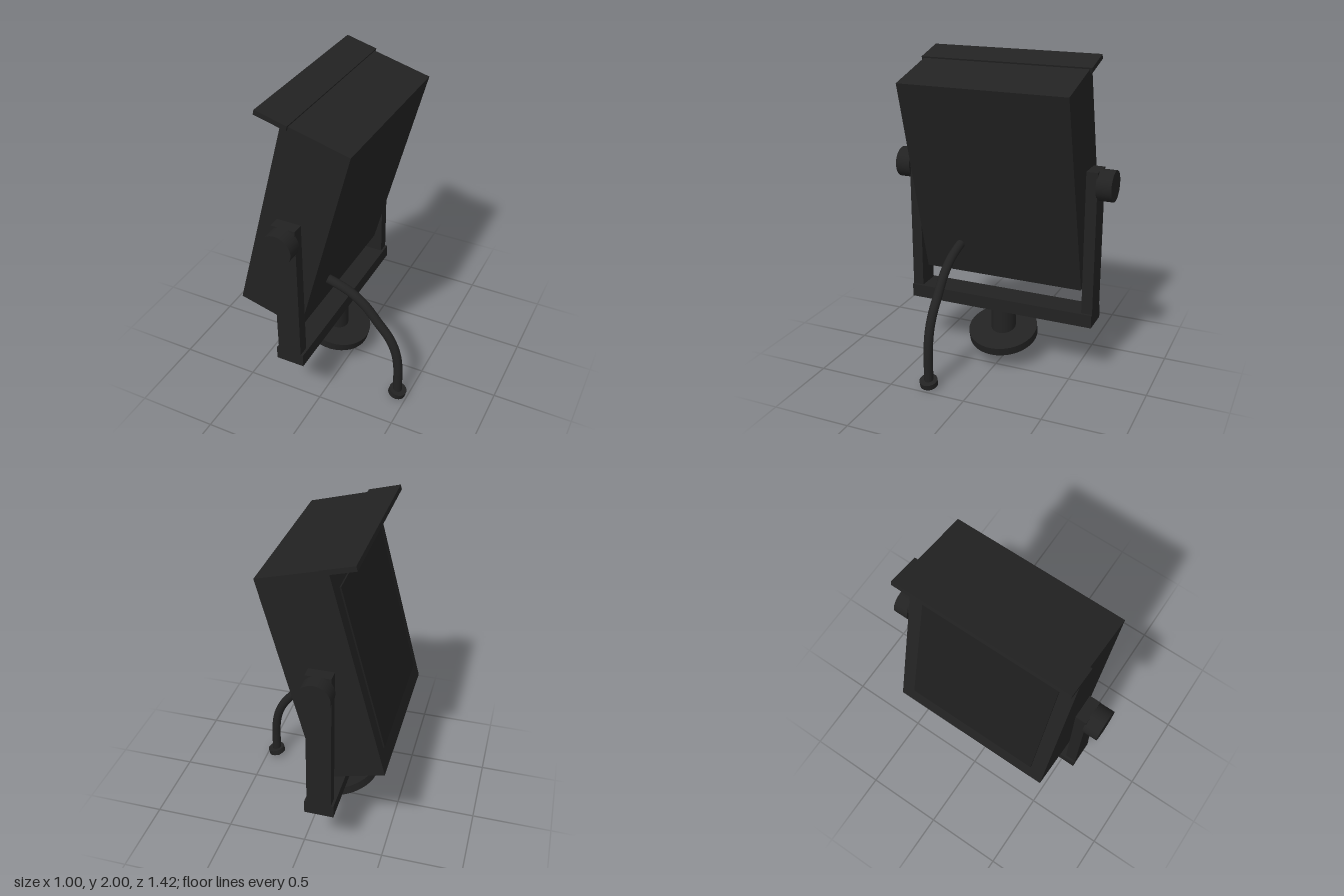
import * as THREE from 'three';

export function createModel() {
  const model = new THREE.Group();
  const housing = new THREE.MeshStandardMaterial({ color: 0x222222 });
  housing.name = 'dark housing';
  const glass = new THREE.MeshStandardMaterial({ color: 0x1e1e1e });
  glass.name = 'dark panel';

  const TILT = -Math.PI / 12;
  const AXIS_X = -0.13;

  function add(parent, name, geometry, x, y, z, material = housing) {
    const mesh = new THREE.Mesh(geometry, material);
    mesh.name = name;
    mesh.position.set(x, y, z);
    parent.add(mesh);
    return mesh;
  }
  const box = (w, h, d) => new THREE.BoxGeometry(w, h, d);
  const disc = (r, h) => new THREE.CylinderGeometry(r, r, h, 40);

  // Tilted housing with its face panel and sun visor
  const head = new THREE.Group();
  head.name = 'tiltedHead';
  head.position.set(AXIS_X, 1.263, 0);
  head.rotation.z = TILT;
  model.add(head);
  add(head, 'body', box(0.414, 1.315, 1.06), 0, 0, 0);
  add(head, 'facePanel', box(0.009, 1.04, 0.88), -0.2115, -0.006, 0, glass);
  add(head, 'visor', box(0.2, 0.03, 1.09), -0.263, 0.652, 0);

  // U-shaped bracket with a pivot knob on each arm
  add(model, 'bracketBar', box(0.18, 0.085, 1.24), AXIS_X, 0.4025, 0);
  for (const side of [-1, 1]) {
    add(model, 'bracketArm', box(0.15, 0.955, 0.07), AXIS_X, 0.8775, side * 0.585);
    const knob = add(model, 'pivotKnob', disc(0.096, 0.095), AXIS_X, 1.264, side * 0.6625);
    knob.rotation.x = Math.PI / 2;
  }

  // Stem and slanted foot
  add(model, 'stem', disc(0.08, 0.18), AXIS_X, 0.28, 0);
  add(model, 'foot', disc(0.224, 0.055), -0.126, 0.192, 0).rotation.z = TILT;

  // Cable leaving the rear of the housing, with a collar at its end
  const path = new THREE.CatmullRomCurve3([
    [-0.1, 0.795], [-0.03, 0.78], [0.1, 0.735], [0.2, 0.665], [0.29, 0.56], [0.37, 0.46],
    [0.415, 0.36], [0.435, 0.24], [0.437, 0.12], [0.437, 0],
  ].map(([x, y]) => new THREE.Vector3(x, y, 0)));
  add(model, 'cable', new THREE.TubeGeometry(path, 48, 0.029, 16), 0, 0, 0.265);
  const cap = add(model, 'cableEnd', new THREE.CircleGeometry(0.029, 16), 0.437, 0, 0.265);
  cap.rotation.x = Math.PI / 2;
  add(model, 'cableCollar', disc(0.056, 0.036), 0.438, 0.038, 0.265).rotation.z = TILT;

  return model;
}
